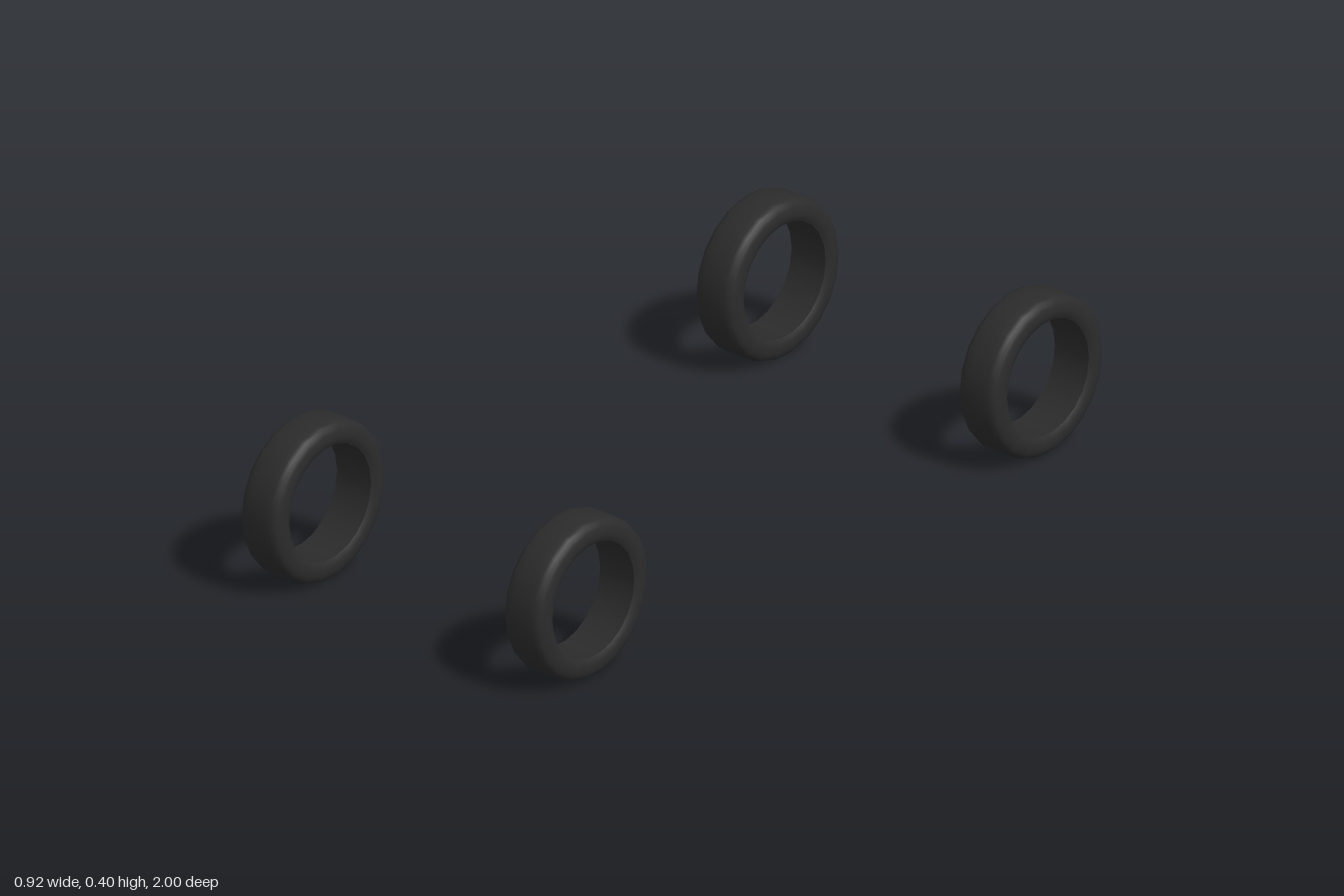
import * as THREE from 'three';

const SEGMENTS = 22;
const RADIUS = 0.201;
const BORE = 0.144;

// Half of the tyre section, from the bore edge to the tread centre: [radius, offset along axle]
const HALF = [
  [BORE, 0.052], [0.152, 0.0565], [0.16, 0.0585], [0.17, 0.0585], [0.18, 0.0565],
  [0.189, 0.053], [0.195, 0.047], [0.199, 0.037], [0.2005, 0.02],
];

function lathe(points) {
  const geometry = new THREE.LatheGeometry(points.map(([r, a]) => new THREE.Vector2(r, a)), SEGMENTS);
  return geometry.rotateZ(-Math.PI / 2); // axle along x
}

export function createModel() {
  const model = new THREE.Group();
  model.name = 'wheelSet';
  const rubber = new THREE.MeshStandardMaterial({ color: 0x2b2b2b });

  // Sidewalls and crowned tread in one smooth sweep
  const outer = lathe([
    ...HALF.map(([r, a]) => [r, -a]),
    [RADIUS, 0],
    ...HALF.slice().reverse(),
  ]);
  // Straight inner bore, facing the axle
  const inner = lathe([[BORE, 0.052], [BORE, -0.052]]);

  // Four tyres, front and rear, left and right
  for (const [end, z] of [['front', 0.799], ['rear', -0.799]]) {
    for (const [side, x] of [['Left', 0.402], ['Right', -0.402]]) {
      const tyre = new THREE.Group();
      tyre.name = `${end}${side}Tyre`;
      const tread = new THREE.Mesh(outer, rubber);
      tread.name = 'treadAndSidewalls';
      const bore = new THREE.Mesh(inner, rubber);
      bore.name = 'innerBore';
      tyre.add(tread, bore);
      tyre.position.set(x, RADIUS * Math.cos(Math.PI / SEGMENTS), z);
      model.add(tyre);
    }
  }
  return model;
}
